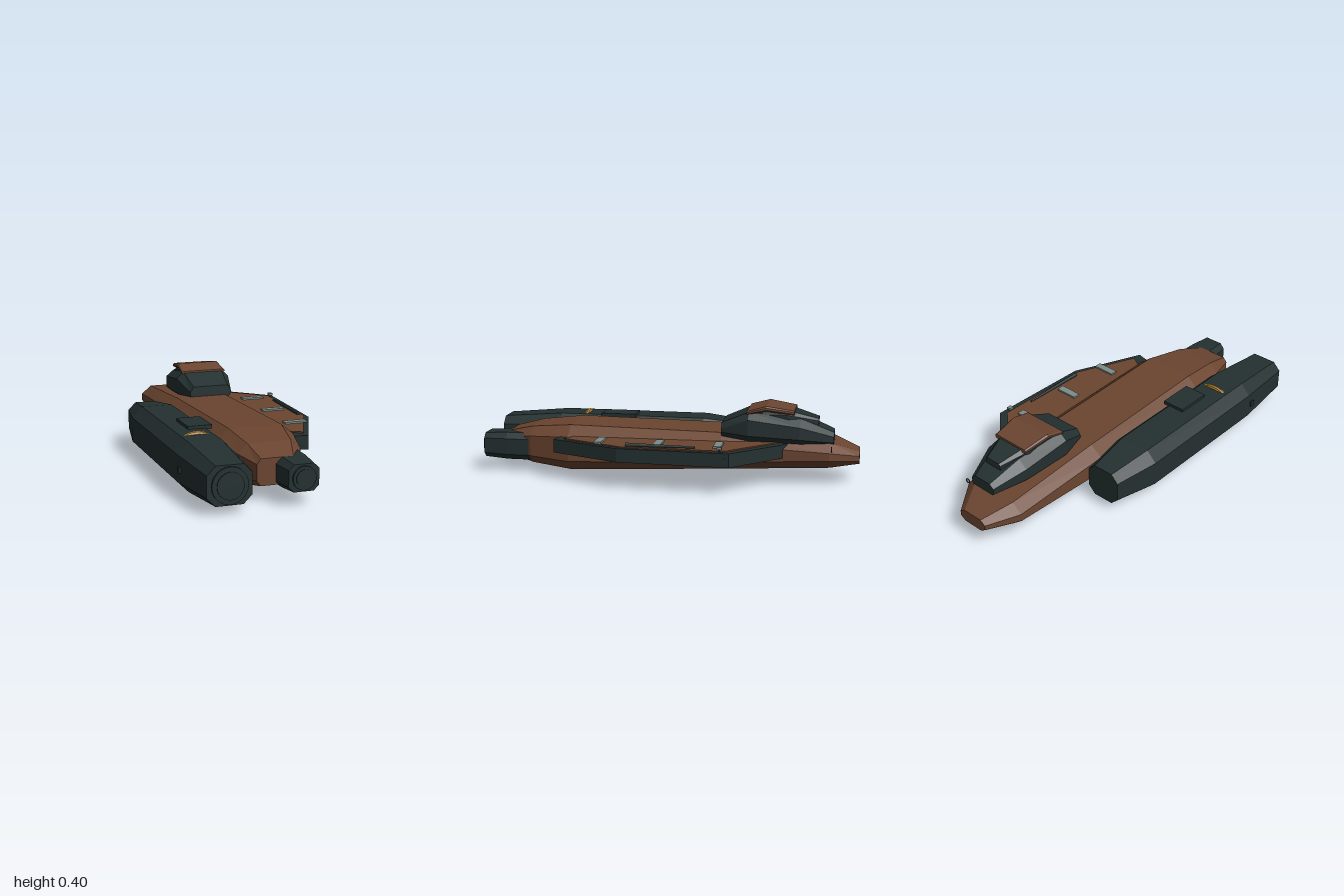
import * as THREE from 'three';

const mat = (name, color) => {
  const m = new THREE.MeshStandardMaterial({ color });
  m.name = name;
  m.flatShading = true;
  return m;
};

// Faceted body from chamfered sections [z, x0, x1, y0, y1, chamferX, chamferY], back to front
function loft(sections) {
  const rings = sections.map(([z, x0, x1, y0, y1, cx, cy]) => [
    [x1, y0 + cy, z], [x1, y1 - cy, z], [x1 - cx, y1, z], [x0 + cx, y1, z],
    [x0, y1 - cy, z], [x0, y0 + cy, z], [x0 + cx, y0, z], [x1 - cx, y0, z],
  ]);
  const pos = [];
  const tri = (a, b, c) => pos.push(...a, ...b, ...c);
  for (let s = 0; s < rings.length - 1; s++) {
    const a = rings[s], b = rings[s + 1];
    for (let i = 0; i < 8; i++) {
      const j = (i + 1) % 8;
      tri(a[i], a[j], b[j]);
      tri(a[i], b[j], b[i]);
    }
  }
  const back = rings[0], front = rings[rings.length - 1];
  for (let i = 1; i < 7; i++) {
    tri(back[0], back[i + 1], back[i]);
    tri(front[0], front[i], front[i + 1]);
  }
  const g = new THREE.BufferGeometry();
  g.setAttribute('position', new THREE.Float32BufferAttribute(pos, 3));
  g.computeVertexNormals();
  return g;
}

// Flat slab from an [x, z] outline, standing between two heights
function slab(outline, y0, y1) {
  const shape = new THREE.Shape(outline.map(([x, z]) => new THREE.Vector2(x, -z)));
  const g = new THREE.ExtrudeGeometry(shape, { depth: y1 - y0, bevelEnabled: false });
  return g.rotateX(-Math.PI / 2).translate(0, y0, 0);
}

export function createModel() {
  const brown = mat('hull brown', 0x6b4530);
  const dark = mat('dark slate', 0x243031);
  const grey = mat('pale grey', 0x7d8d8a);
  const gold = mat('gold', 0xa97b2a);

  const group = new THREE.Group();
  const add = (name, geometry, material, x = 0, y = 0, z = 0) => {
    const m = new THREE.Mesh(geometry, material);
    m.name = name;
    m.position.set(x, y, z);
    group.add(m);
    return m;
  };
  const box = (name, material, w, h, d, x, y, z) =>
    add(name, new THREE.BoxGeometry(w, h, d), material, x, y, z);

  // Main hull
  add('hull', loft([
    [-1, -0.1, 0.07, 0.1, 0.165, 0.03, 0.02],
    [-0.85, -0.195, 0.17, 0.09, 0.22, 0.055, 0.045],
    [-0.3, -0.21, 0.2, 0.066, 0.257, 0.065, 0.05],
    [0.5, -0.2, 0.205, 0.03, 0.27, 0.065, 0.055],
    [0.72, -0.172, 0.148, 0.05, 0.247, 0.05, 0.045],
    [0.865, -0.13, 0.07, 0.08, 0.21, 0.02, 0.025],
  ]), brown);

  // Side pod
  add('sidePod', loft([
    [-0.39, -0.4, -0.21, 0.05, 0.23, 0.04, 0.04],
    [-0.15, -0.443, -0.17, 0.018, 0.258, 0.055, 0.055],
    [0.65, -0.443, -0.17, 0.018, 0.26, 0.055, 0.055],
    [0.985, -0.413, -0.197, 0.045, 0.232, 0.042, 0.042],
  ]), dark);

  // Front engine under the nose
  add('noseEngine', loft([
    [0.6, -0.037, 0.14, 0.065, 0.21, 0.03, 0.03],
    [0.86, -0.037, 0.14, 0.065, 0.21, 0.03, 0.03],
    [0.985, -0.023, 0.127, 0.073, 0.203, 0.026, 0.026],
  ]), dark);

  // Stepped round end plates on both engines
  for (const [name, x, y, r] of [['podEndPlate', -0.305, 0.138, 0.087], ['noseEndPlate', 0.052, 0.138, 0.057]]) {
    add(name, new THREE.CylinderGeometry(r, r, 0.012, 32).rotateX(Math.PI / 2), dark, x, y, 0.989);
    add(name + 'Centre', new THREE.CylinderGeometry(r * 0.74, r * 0.74, 0.012, 32).rotateX(Math.PI / 2), dark, x, y, 0.994);
  }

  // Gold collar, hatch and side light on the pod
  add('podCollar', new THREE.TorusGeometry(0.123, 0.014, 8, 40), gold, -0.305, 0.139, 0.515);
  box('podHatch', dark, 0.125, 0.02, 0.19, -0.252, 0.264, 0.32);
  box('podSideLight', dark, 0.012, 0.03, 0.025, -0.443, 0.14, 0.68);

  // Bridge, its rear fairing and roof
  add('bridge', loft([
    [-0.87, -0.03, 0.12, 0.2, 0.27, 0.025, 0.02],
    [-0.7, -0.088, 0.178, 0.2, 0.342, 0.05, 0.04],
    [-0.44, -0.105, 0.2, 0.22, 0.372, 0.04, 0.035],
    [-0.3, -0.07, 0.168, 0.235, 0.312, 0.02, 0.03],
  ]), dark);
  add('bridgeFairing', loft([
    [-0.79, 0, 0.1, 0.26, 0.338, 0.01, 0.01],
    [-0.64, -0.05, 0.15, 0.28, 0.38, 0.02, 0.02],
    [-0.5, -0.05, 0.15, 0.3, 0.38, 0.02, 0.02],
  ]), dark);
  add('bridgeRoof', loft([
    [-0.67, -0.055, 0.155, 0.36, 0.383, 0.008, 0.006],
    [-0.53, -0.07, 0.17, 0.378, 0.405, 0.008, 0.008],
    [-0.43, -0.076, 0.176, 0.36, 0.377, 0.008, 0.005],
  ]), brown);

  // Wing with a dark rim and a brown deck
  add('wingFrame', slab([
    [0.12, -0.66], [0.2, -0.605], [0.443, -0.375], [0.425, 0.19], [0.262, 0.56], [0.2, 0.545], [0.12, 0.5],
  ], 0.145, 0.215), dark);
  add('wingDeck', slab([
    [0.15, -0.59], [0.2, -0.55], [0.412, -0.352], [0.405, 0.175], [0.258, 0.505], [0.2, 0.47], [0.15, 0.45],
  ], 0.212, 0.221), brown);

  // Pale deck panels
  for (const z of [-0.305, 0, 0.305]) {
    box('deckPanel', grey, 0.122, 0.009, 0.04, 0.297, 0.2255, z);
  }

  // Deck barrel, corner sensor and rim light
  add('deckBarrel', new THREE.CylinderGeometry(0.011, 0.005, 0.35, 12).rotateX(Math.PI / 2), dark, 0.385, 0.228, -0.025);
  add('sensorPost', new THREE.CylinderGeometry(0.004, 0.004, 0.025, 8), dark, 0.415, 0.222, -0.325);
  box('cornerSensor', grey, 0.022, 0.012, 0.025, 0.415, 0.235, -0.325);
  box('rimLight', dark, 0.012, 0.025, 0.02, 0.442, 0.178, -0.36);

  // Small ring at the tail
  add('tailRing', new THREE.TorusGeometry(0.011, 0.003, 6, 16), dark, 0.165, 0.195, -0.86);

  return group;
}
